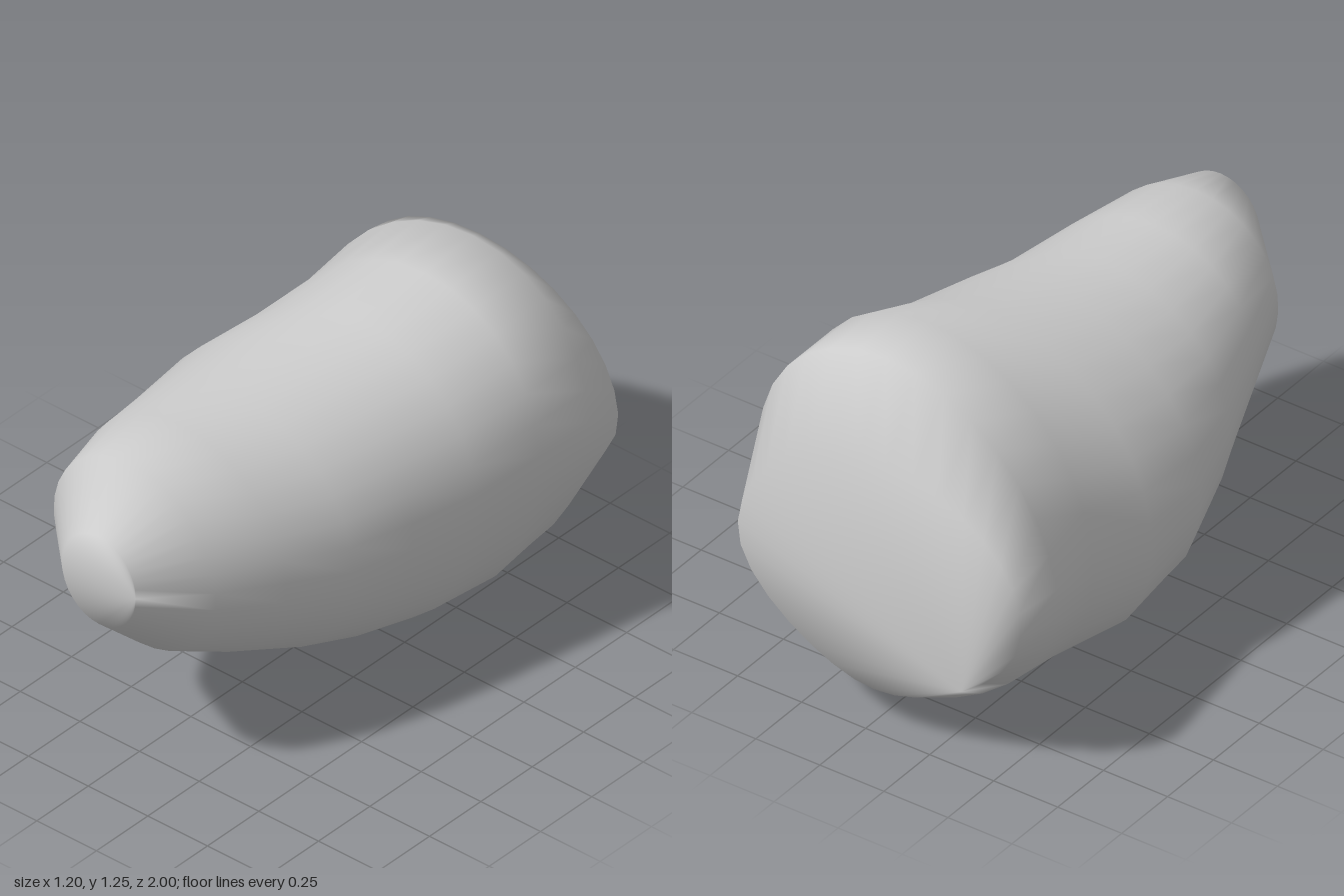
import * as THREE from 'three';

// Cross-sections from front to back:
// z, left x, right x, bottom y, top y, lean, narrowing and sideways shift of the lower half
const SECTIONS = [
  [1, -0.11, 0.2, 0.66, 1.0, 0, 0, 0],
  [0.75, -0.36, 0.32, 0.43, 1.11, -0.05, 0, 0],
  [0.5, -0.45, 0.4, 0.3, 1.125, -0.05, 0, 0],
  [0.25, -0.53, 0.46, 0.18, 1.115, 0.02, -0.06, 0.01],
  [0, -0.59, 0.5, 0.08, 1.155, 0.1, -0.14, 0.04],
  [-0.25, -0.58, 0.545, 0.025, 1.18, 0.14, -0.17, 0.05],
  [-0.5, -0.53, 0.595, 0.025, 1.25, 0.15, -0.14, 0.05],
  [-0.75, -0.575, 0.595, 0.005, 1.255, 0.16, 0.18, 0.09],
  [-1, -0.605, 0.5, 0.17, 1.04, -0.05, 0.28, 0],
];
const SIDES = 32;

function bodyGeometry() {
  const points = [], faces = [];
  // Leaning oval rings
  for (const [z, x0, x1, y0, y1, lean, narrow, shift] of SECTIONS) {
    for (let i = 0; i < SIDES; i++) {
      const t = (i / SIDES) * Math.PI * 2;
      const below = Math.min(0, Math.sin(t)) ** 2;
      const halfWidth = ((x1 - x0) / 2) * (1 - narrow * below);
      points.push(
        (x0 + x1) / 2 + halfWidth * Math.cos(t - lean) + shift * below,
        (y0 + y1) / 2 + ((y1 - y0) / 2) * Math.sin(t),
        z
      );
    }
  }
  // Skin between neighbouring rings
  for (let r = 0; r < SECTIONS.length - 1; r++) {
    for (let i = 0; i < SIDES; i++) {
      const j = (i + 1) % SIDES;
      const a = r * SIDES + i, b = r * SIDES + j;
      faces.push(a, a + SIDES, b, b, a + SIDES, b + SIDES);
    }
  }
  // End caps, each fanned from one rim point
  const last = (SECTIONS.length - 1) * SIDES;
  const hub = Math.round(SIDES * 0.625);
  for (let i = 1; i < SIDES - 1; i++) {
    faces.push(0, i, i + 1);
    faces.push(last + hub, last + ((hub + i + 1) % SIDES), last + ((hub + i) % SIDES));
  }
  const geometry = new THREE.BufferGeometry();
  geometry.setAttribute('position', new THREE.Float32BufferAttribute(points, 3));
  geometry.setIndex(faces);
  geometry.computeVertexNormals();
  return geometry;
}

export function createModel() {
  const group = new THREE.Group();
  group.name = 'taperedBlob';
  const body = new THREE.Mesh(
    bodyGeometry(),
    new THREE.MeshStandardMaterial({ color: 0xcccccc })
  );
  body.name = 'body';
  group.add(body);
  return group;
}
